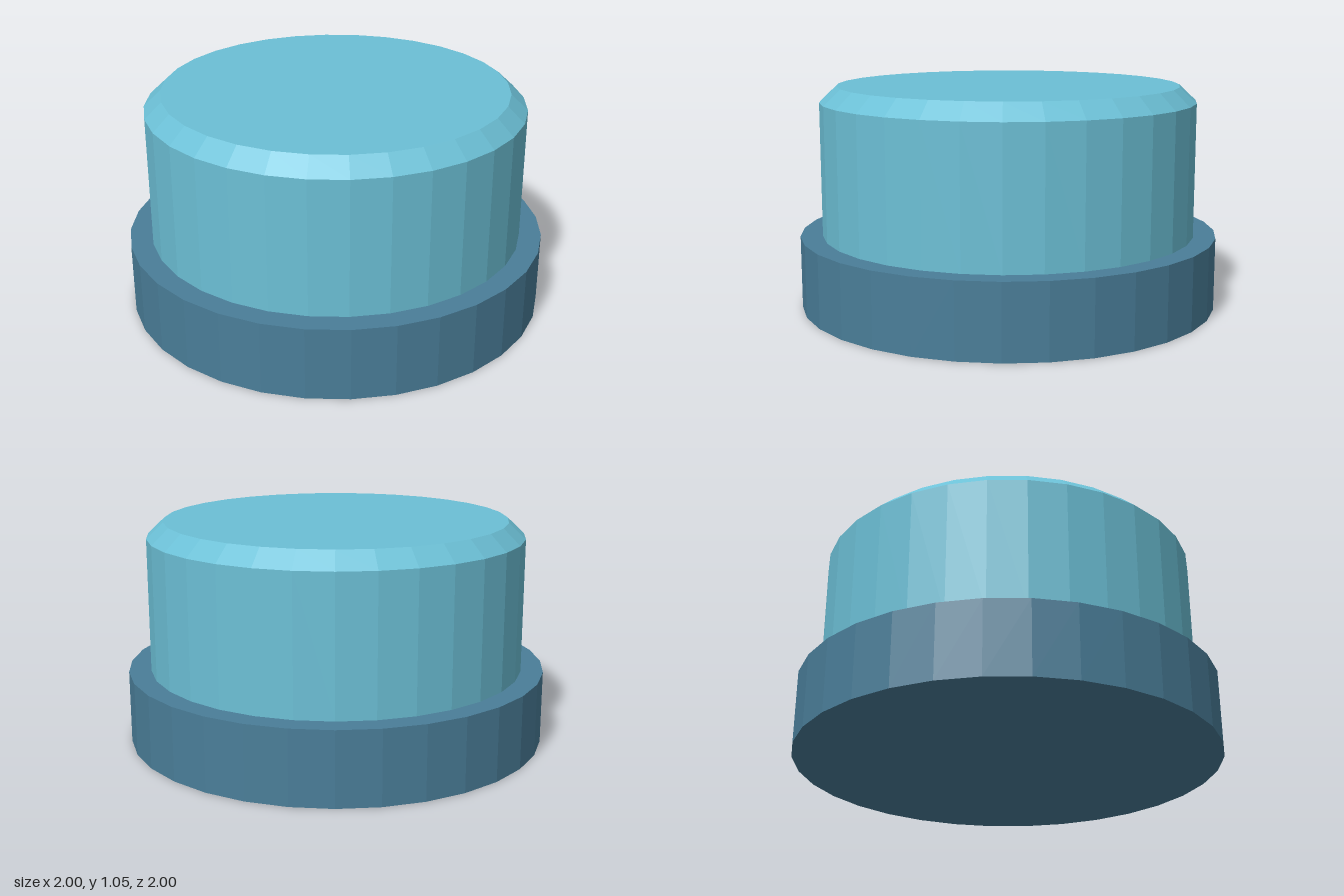
import * as THREE from 'three';

const SIDES = 32;

function part(name, color, geometry, y) {
  const material = new THREE.MeshStandardMaterial({ color, flatShading: true });
  const mesh = new THREE.Mesh(geometry, material);
  mesh.name = name;
  mesh.position.y = y;
  return mesh;
}

export function createModel() {
  const group = new THREE.Group();
  group.name = 'pushButton';

  // Wide collar at the bottom
  const baseHeight = 0.345;
  group.add(part('base', 0x4a7e99,
    new THREE.CylinderGeometry(1, 1, baseHeight, SIDES), baseHeight / 2));

  // Plunger with a chamfered rim, standing on the collar
  const profile = [[0.895, 0], [0.895, 0.635], [0.815, 0.71], [0, 0.71]]
    .map(([r, y]) => new THREE.Vector2(r, y));
  group.add(part('buttonCap', 0x6cc0d6,
    new THREE.LatheGeometry(profile, SIDES), baseHeight));

  return group;
}
